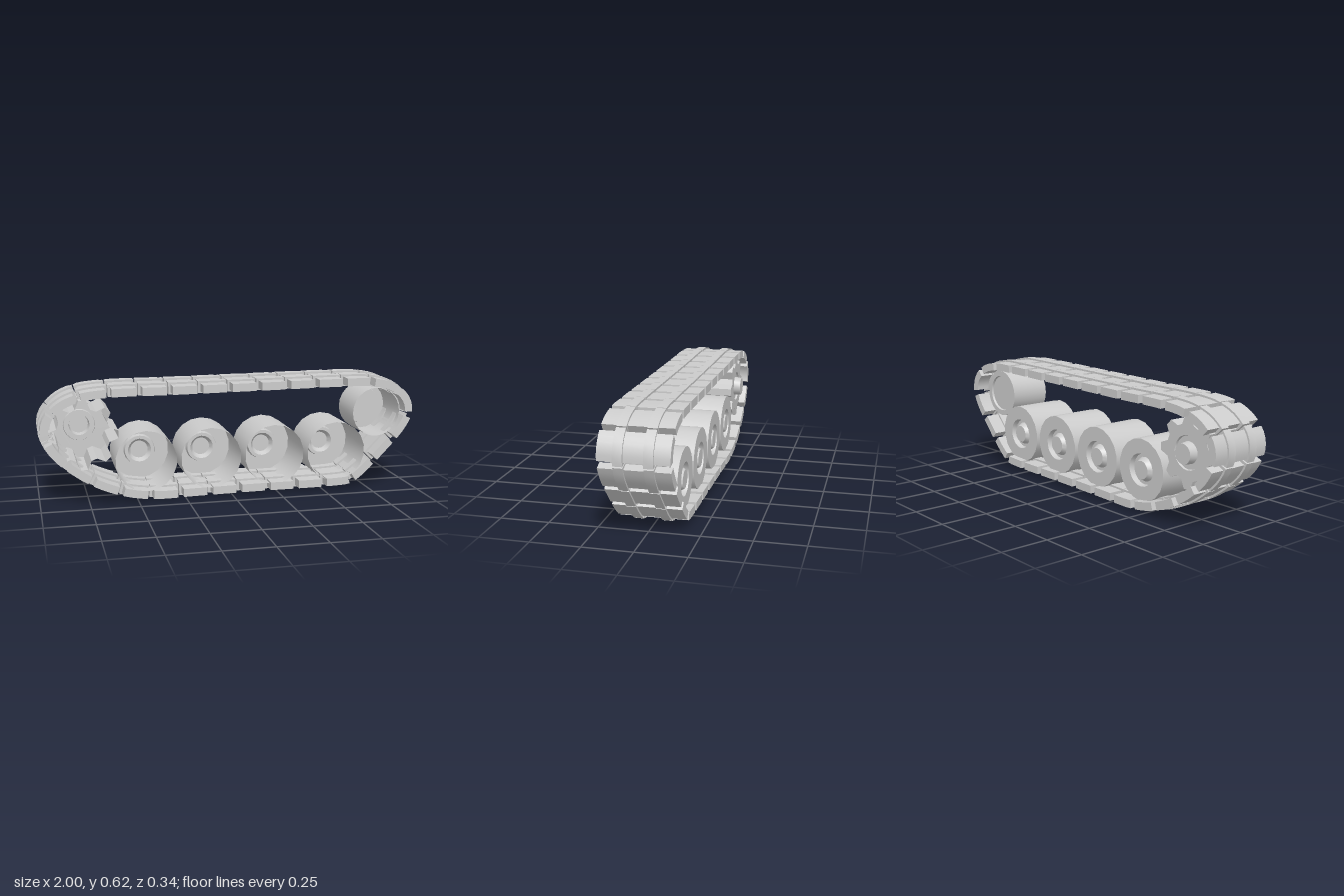
import * as THREE from 'three';
import { toCreasedNormals } from 'three/addons/utils/BufferGeometryUtils.js';

const material = new THREE.MeshStandardMaterial({ color: 0xcccccc, side: THREE.DoubleSide });
const HALF = 0.17; // half width of the track
const FRONT = 0.157; // open front rim of the wheels
const BACK = -0.133; // closed back face of the wheels

function addMesh(parent, name, geometry) {
  const mesh = new THREE.Mesh(toCreasedNormals(geometry, 0.5), material);
  mesh.name = name;
  parent.add(mesh);
  return mesh;
}

// Turned part around the z axis; profile is a list of [radius, z]
function turned(profile, sides) {
  const points = profile.map(([r, z]) => new THREE.Vector2(r, z));
  return new THREE.LatheGeometry(points, sides).rotateX(Math.PI / 2);
}

// Centre line of the track, clockwise from the upper left
const trackPath = new THREE.CatmullRomCurve3([
  [-0.657, 0.571], [-0.3, 0.574], [0.2, 0.579], [0.6, 0.583], [0.754, 0.58],
  [0.87, 0.552], [0.948, 0.49], [0.969, 0.42], [0.94, 0.345], [0.81, 0.197],
  [0.69, 0.083], [0.64, 0.052], [0.57, 0.045], [0.1, 0.04], [-0.2, 0.035], [-0.42, 0.032],
  [-0.56, 0.053], [-0.706, 0.107], [-0.82, 0.178], [-0.92, 0.27],
  [-0.967, 0.37], [-0.957, 0.44], [-0.89, 0.513], [-0.79, 0.555],
].map(([x, y]) => new THREE.Vector3(x, y, 0)), true);
trackPath.arcLengthDivisions = 1000;

// Box bent along the track path: centre and length are fractions of the loop
function bentBox(centre, length, thickness, width, z) {
  const geometry = new THREE.BoxGeometry(length, thickness, width, 5, 1, 1);
  const position = geometry.attributes.position;
  for (let i = 0; i < position.count; i++) {
    const u = (centre + position.getX(i) + 1) % 1;
    const offset = position.getY(i);
    const p = trackPath.getPointAt(u);
    const t = trackPath.getTangentAt(u);
    position.setXYZ(i, p.x - t.y * offset, p.y + t.x * offset, position.getZ(i) + z);
  }
  geometry.computeVertexNormals();
  return geometry;
}

function createTrack() {
  const track = new THREE.Group();
  track.name = 'track';
  const count = 28;
  for (let i = 0; i < count; i++) {
    const link = new THREE.Group();
    link.name = 'trackLink';
    const centre = (i + 0.5) / count + 0.003;
    addMesh(link, 'linkPlate', bentBox(centre, 0.8 / count, 0.042, HALF * 2, 0));
    for (const side of [-1, 1]) {
      addMesh(link, 'linkConnector', bentBox(centre, 0.96 / count, 0.062, 0.046, side * 0.071));
    }
    track.add(link);
  }
  return track;
}

// Road wheel: drum open to the front, with a conical hub in a dished back
function createRoadWheel(x) {
  const wheel = addMesh(new THREE.Group(), 'roadWheel', turned([
    [0.16, FRONT], [0.16, BACK], [0.085, BACK], [0.08, -0.105],
    [0.063, -0.105], [0.047, BACK], [0, BACK],
  ], 18));
  wheel.position.set(x, 0.21, 0);
  return wheel;
}

// Idler: narrower open drum with a shallow dish at the back
function createIdler() {
  const idler = addMesh(new THREE.Group(), 'idlerWheel', turned([
    [0.132, 0.127], [0.132, -0.1], [0.103, -0.1], [0.1, -0.088], [0, -0.088],
  ], 24));
  idler.position.set(0.8, 0.41, 0);
  return idler;
}

// Drive sprocket: toothed drum, open at the front, with a raised hub at the back
function createSprocket() {
  const sprocket = new THREE.Group();
  sprocket.name = 'driveSprocket';
  const teeth = 8;
  const outline = [];
  for (let i = 0; i < teeth; i++) {
    const a = (i / teeth) * Math.PI * 2;
    for (const [r, da] of [[0.138, -0.28], [0.179, -0.11], [0.179, 0.11], [0.138, 0.28]]) {
      outline.push(new THREE.Vector2(r * Math.cos(a + da), r * Math.sin(a + da)));
    }
  }

  // Toothed wall: one quad for each outline edge
  const wall = [];
  outline.forEach((p, i) => {
    const q = outline[(i + 1) % outline.length];
    wall.push(p.x, p.y, BACK, q.x, q.y, BACK, q.x, q.y, FRONT);
    wall.push(p.x, p.y, BACK, q.x, q.y, FRONT, p.x, p.y, FRONT);
  });
  const wallGeometry = new THREE.BufferGeometry();
  wallGeometry.setAttribute('position', new THREE.Float32BufferAttribute(wall, 3));
  wallGeometry.computeVertexNormals();
  addMesh(sprocket, 'toothedDrum', wallGeometry);

  // Back plate with a round opening for the hub
  const plate = new THREE.Shape(outline);
  plate.holes.push(new THREE.Path().absarc(0, 0, 0.085, 0, Math.PI * 2, true));
  addMesh(sprocket, 'backPlate', new THREE.ShapeGeometry(plate, 10).rotateY(Math.PI).translate(0, 0, BACK));
  addMesh(sprocket, 'sprocketHub', turned([
    [0.085, BACK], [0.082, -0.122], [0.055, -0.122], [0.05, -0.165], [0, -0.165],
  ], 20));
  sprocket.position.set(-0.775, 0.36, 0);
  return sprocket;
}

export function createModel() {
  const model = new THREE.Group();
  model.name = 'crawlerTrack';
  model.add(createTrack(), createSprocket(), createIdler());
  for (let i = 0; i < 4; i++) model.add(createRoadWheel(-0.457 + i * 0.341));
  return model;
}
